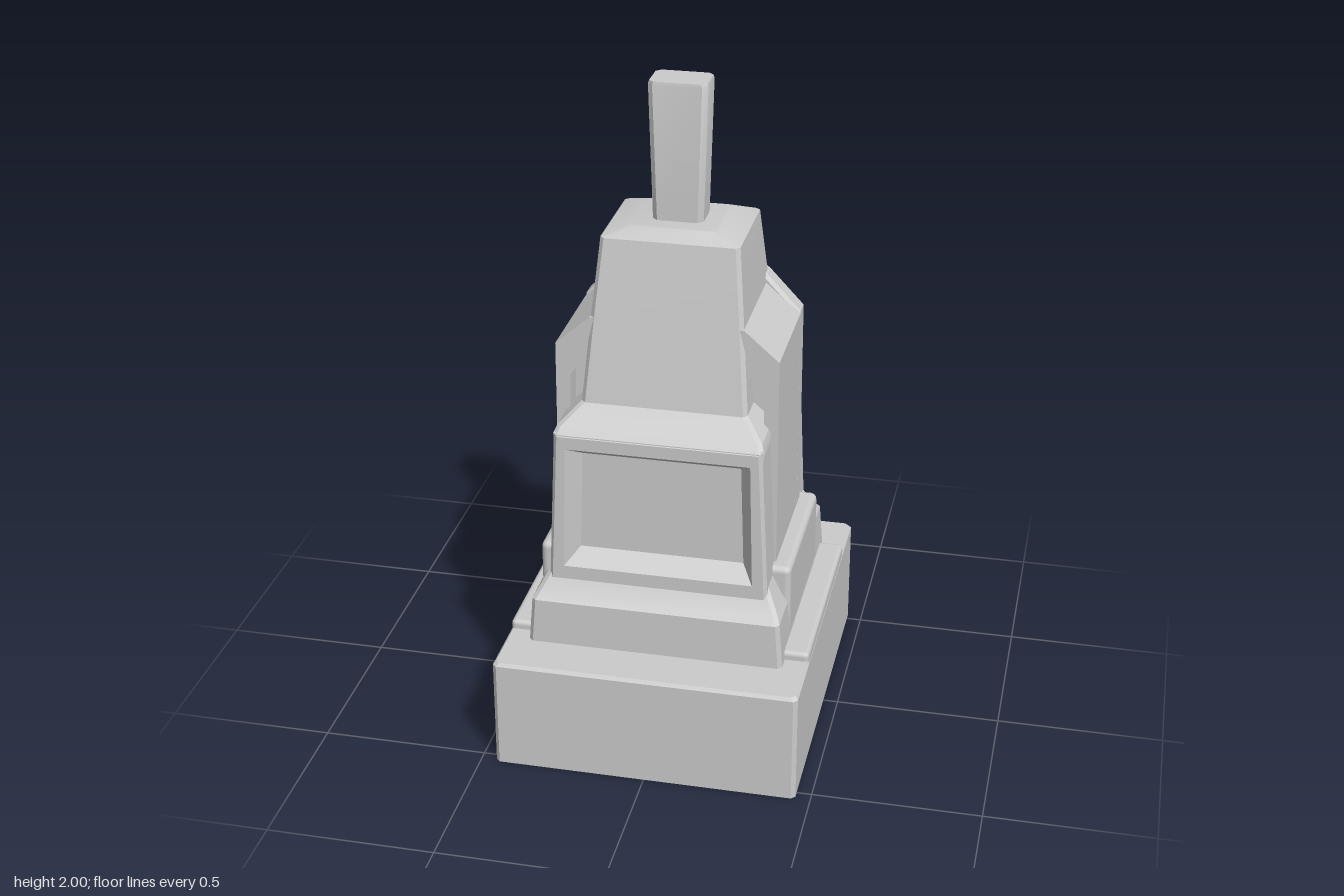
import * as THREE from 'three';
import { toCreasedNormals } from 'three/addons/utils/BufferGeometryUtils.js';
import { RoundedBoxGeometry } from 'three/addons/geometries/RoundedBoxGeometry.js';

const material = new THREE.MeshStandardMaterial({ color: 0xcccccc });

// Skin closed rings (counter-clockwise seen from the end) and cap both ends.
function loft(rings) {
  const pos = [];
  const tri = (a, b, c) => pos.push(...a, ...b, ...c);
  const n = rings[0].length;
  for (let r = 0; r < rings.length - 1; r++) {
    for (let i = 0; i < n; i++) {
      const j = (i + 1) % n, a = rings[r], b = rings[r + 1];
      tri(a[i], a[j], b[j]);
      tri(a[i], b[j], b[i]);
    }
  }
  const first = rings[0], last = rings[rings.length - 1];
  for (let i = 1; i < n - 1; i++) {
    tri(first[0], first[i + 1], first[i]);
    tri(last[0], last[i], last[i + 1]);
  }
  const g = new THREE.BufferGeometry();
  g.setAttribute('position', new THREE.Float32BufferAttribute(pos, 3));
  return toCreasedNormals(g, 0.4);
}

// Upright block with small corner chamfers; levels are [y, halfX, halfZ front, halfZ back].
function tower(levels, c = 0.012) {
  return loft(levels.map(([y, x, f, b = f]) => [
    [x - c, y, f], [x, y, f - c], [x, y, -b + c], [x - c, y, -b],
    [-x + c, y, -b], [-x, y, -b + c], [-x, y, f - c], [-x + c, y, f],
  ]));
}

// Upright frame ring: half widths at its bottom and top.
const trapezoid = (z, bottom, top, y0, y1) =>
  [[-bottom, y0, z], [bottom, y0, z], [top, y1, z], [-top, y1, z]];

// Mirrored outline given by its right-hand points, bottom to top.
function mirroredShape(points) {
  const all = [...points, ...points.slice().reverse().map(([x, y]) => [-x, y])];
  return new THREE.Shape(all.map(([x, y]) => new THREE.Vector2(x, y)));
}

function slab(shape, z0, z1, bevel = 0) {
  const g = new THREE.ExtrudeGeometry(shape, {
    depth: z1 - z0 - 2 * bevel, bevelEnabled: bevel > 0, bevelThickness: bevel,
    bevelSize: bevel, bevelOffset: -bevel, bevelSegments: 1,
  });
  return g.translate(0, 0, z0 + bevel);
}

export function createModel() {
  const group = new THREE.Group();
  const add = (name, geometry) => {
    const mesh = new THREE.Mesh(geometry, material);
    mesh.name = name;
    group.add(mesh);
    return mesh;
  };

  // Stepped base
  add('base', tower([[0, 0.455, 0.533], [0.335, 0.455, 0.533], [0.345, 0.447, 0.525]]));
  add('plinth', tower([
    [0.33, 0.384, 0.385], [0.485, 0.372, 0.382], [0.515, 0.355, 0.35], [0.57, 0.328, 0.32],
  ]));

  // Low ledges along both sides
  for (const s of [1, -1]) {
    const side = s > 0 ? 'left' : 'right';
    add(side + 'LowerLedge', new RoundedBoxGeometry(0.2, 0.37, 0.675, 2, 0.014))
      .position.set(s * 0.354, 0.186, -0.008);
    add(side + 'UpperLedge', new RoundedBoxGeometry(0.2, 0.3, 0.495, 2, 0.02))
      .position.set(s * 0.28, 0.45, -0.008);
  }

  // Main body with a sunken front panel in a frame
  add('body', tower([[0.5, 0.328, 0.26, 0.333], [1.02, 0.305, 0.26, 0.333]]));
  add('frontPanelFrame', loft([
    trapezoid(0.2, 0.328, 0.305, 0.52, 1.02),
    trapezoid(0.325, 0.328, 0.305, 0.52, 1.02),
    trapezoid(0.335, 0.318, 0.295, 0.535, 1.01),
    trapezoid(0.335, 0.282, 0.272, 0.585, 0.972),
    trapezoid(0.275, 0.245, 0.235, 0.625, 0.935),
  ]));
  add('shoulder', tower([
    [0.98, 0.308, 0.333], [1.015, 0.308, 0.333], [1.035, 0.3, 0.315], [1.085, 0.244, 0.243],
  ]));

  // Wide wings with shallow framed fronts
  const wingOutline = [[0.33, 0.5], [0.328, 1.245], [0.225, 1.335]];
  add('wings', slab(mirroredShape(wingOutline), -0.2, 0.14));
  const frame = mirroredShape(wingOutline);
  frame.holes.push(mirroredShape([[0.29, 0.75], [0.285, 1.15], [0.255, 1.19]]));
  add('wingFrame', slab(frame, 0.14, 0.203));

  // Raised back panel with a chamfered head
  add('backPanel', slab(mirroredShape([
    [0.33, 0.6], [0.328, 1.25], [0.225, 1.36], [0.14, 1.425],
  ]), -0.22, -0.15, 0.01));

  // Tapered shaft and the spire on top
  add('shaft', tower([
    [1.05, 0.247, 0.25], [1.36, 0.221, 0.2], [1.565, 0.202, 0.162], [1.59, 0.13, 0.11],
  ]));
  add('spire', tower([[1.55, 0.073, 0.056], [1.99, 0.086, 0.058], [2, 0.083, 0.056]], 0.015));
  return group;
}
